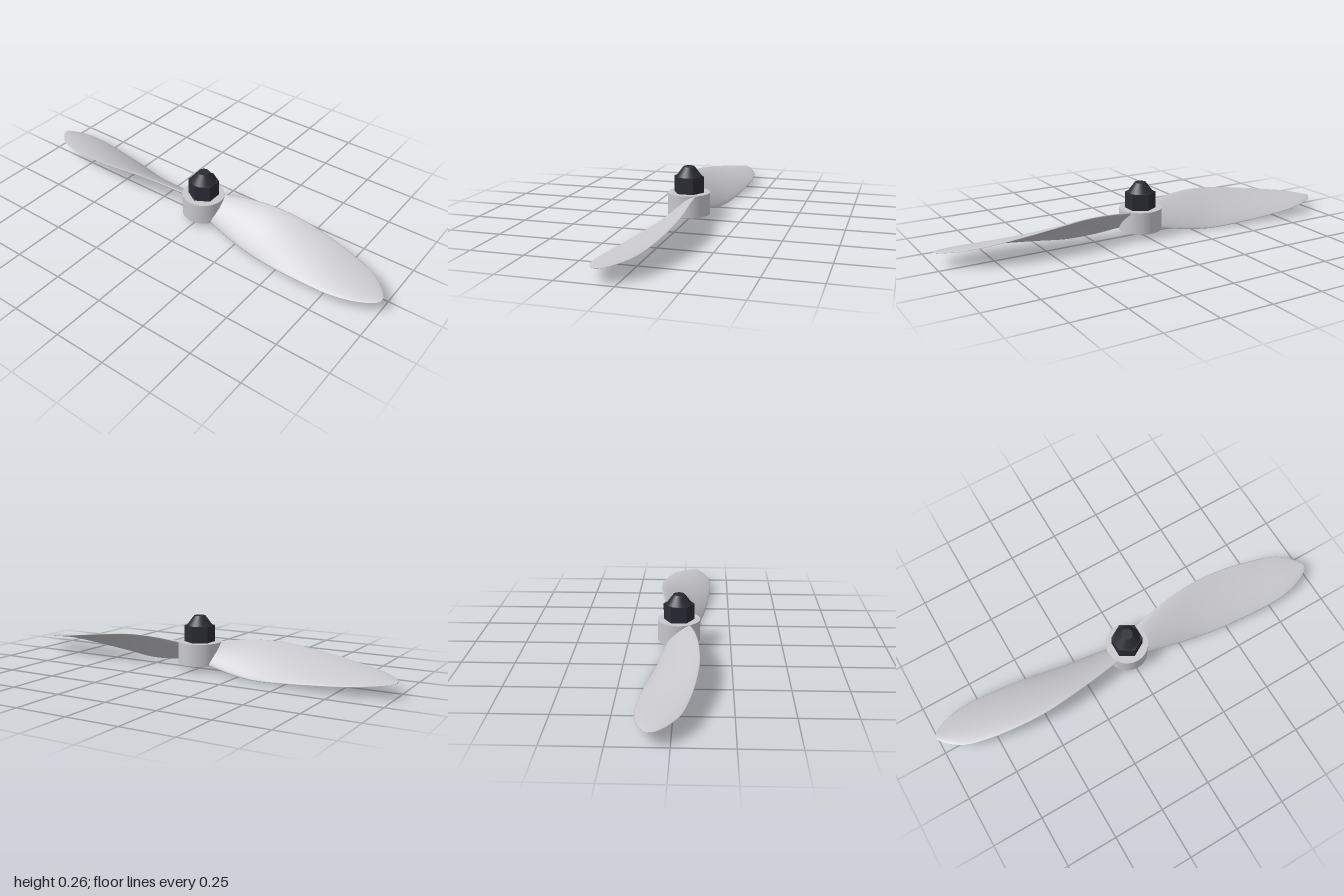
import * as THREE from 'three';

const bladeGrey = new THREE.MeshStandardMaterial({ color: 0xc8c8cc });
bladeGrey.name = 'light grey';
const nutDark = new THREE.MeshStandardMaterial({ color: 0x2b2b35 });
nutDark.name = 'dark charcoal';

// Blade stations: x, rear edge y and z, front edge y and z, half thickness
const STATIONS = [
  [0.03, 0.126, -0.045, 0.040, 0.045, 0.012],
  [0.10, 0.136, -0.060, 0.030, 0.060, 0.012],
  [0.20, 0.149, -0.079, 0.014, 0.080, 0.011],
  [0.34, 0.155, -0.098, 0.003, 0.106, 0.010],
  [0.50, 0.141, -0.107, 0.013, 0.132, 0.009],
  [0.66, 0.119, -0.094, 0.026, 0.147, 0.008],
  [0.80, 0.098, -0.068, 0.039, 0.152, 0.007],
  [0.90, 0.085, -0.036, 0.051, 0.137, 0.005],
  [0.96, 0.076, 0.008, 0.058, 0.113, 0.004],
  [0.985, 0.072, 0.034, 0.062, 0.098, 0.003],
  [1.00, 0.069, 0.058, 0.066, 0.082, 0.002],
];

// Twisted blade lofted from thin cambered sections between its two edges
function bladeGeometry() {
  const curve = (iy, iz) => new THREE.CatmullRomCurve3(
    STATIONS.map((s) => new THREE.Vector3(s[0], s[iy], s[iz])));
  const rear = curve(1, 2);
  const front = curve(3, 4);
  const spans = 50;
  const around = 28;
  const positions = [];
  const index = [];
  for (let i = 0; i <= spans; i++) {
    const u = i / spans;
    const a = rear.getPoint(u);
    const b = front.getPoint(u);
    const k = Math.min(u * (STATIONS.length - 1), STATIONS.length - 1.001);
    const n = Math.floor(k);
    const half = THREE.MathUtils.lerp(STATIONS[n][5], STATIONS[n + 1][5], k - n);
    const chord = Math.hypot(b.y - a.y, b.z - a.z);
    const up = new THREE.Vector3(0, (b.z - a.z) / chord, (a.y - b.y) / chord);
    for (let j = 0; j < around; j++) {
      const t = (j / around) * Math.PI * 2;
      const s = (1 - Math.cos(t)) / 2;
      const camber = 0.04 * chord * 4 * s * (1 - s);
      const p = a.clone().lerp(b, s).addScaledVector(up, camber + half * Math.sin(t));
      positions.push(p.x, p.y, p.z);
      if (i < spans) {
        const r = i * around;
        const c = r + j;
        const d = r + ((j + 1) % around);
        index.push(c, d, c + around, d, d + around, c + around);
      }
    }
  }
  // Close the tip
  const last = spans * around;
  for (let j = 1; j < around - 1; j++) index.push(last, last + j, last + j + 1);
  const geometry = new THREE.BufferGeometry();
  geometry.setAttribute('position', new THREE.Float32BufferAttribute(positions, 3));
  geometry.setIndex(index);
  geometry.computeVertexNormals();
  return geometry;
}

// Upright cylinder or cone between two heights
function turned(name, topRadius, bottomRadius, y0, y1, sides, material) {
  let geometry = new THREE.CylinderGeometry(topRadius, bottomRadius, y1 - y0, sides);
  if (sides === 6) {
    geometry = geometry.toNonIndexed();
    geometry.computeVertexNormals();
  }
  const mesh = new THREE.Mesh(geometry, material);
  mesh.name = name;
  mesh.position.y = (y0 + y1) / 2;
  return mesh;
}

export function createModel() {
  const group = new THREE.Group();
  group.name = 'propeller';

  group.add(turned('hub', 0.102, 0.102, 0.03, 0.136, 64, bladeGrey));
  group.add(turned('hexNut', 0.074, 0.074, 0.136, 0.214, 6, nutDark));
  group.add(turned('nutCone', 0.027, 0.062, 0.214, 0.261, 40, nutDark));

  // Two identical blades, half a turn apart
  const geometry = bladeGeometry();
  ['leftBlade', 'rightBlade'].forEach((name, i) => {
    const blade = new THREE.Mesh(geometry, bladeGrey);
    blade.name = name;
    blade.rotation.y = i * Math.PI;
    group.add(blade);
  });
  return group;
}
